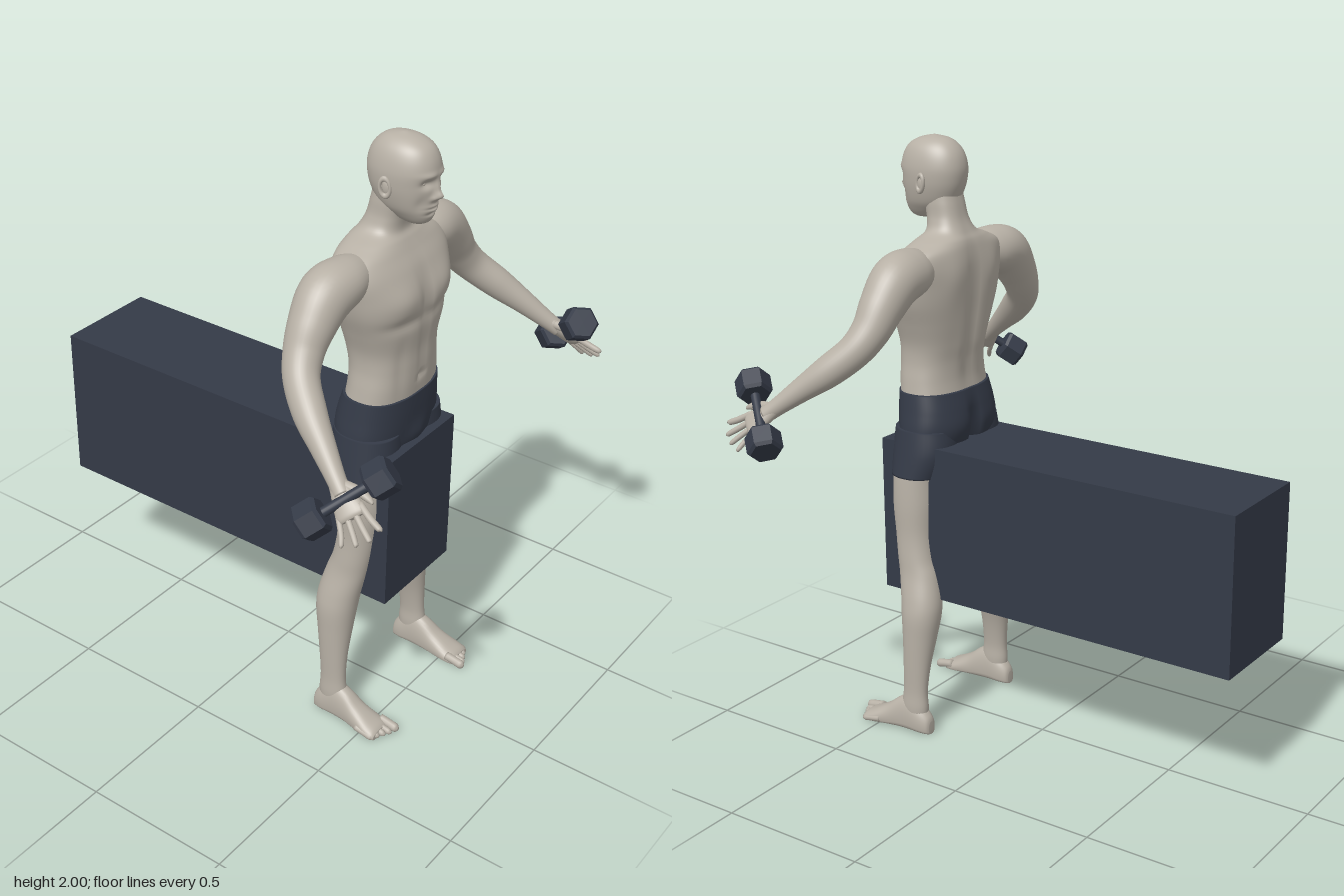
import * as THREE from 'three';

const V = (x, y, z) => new THREE.Vector3(x, y, z);
const skin = new THREE.MeshStandardMaterial({ color: 0xb7b0a5 });
skin.name = 'skin';
const dark = new THREE.MeshStandardMaterial({ color: 0x343a47 });
dark.name = 'dark slate';

// Smooth interpolation through rows of numbers, t from 0 to 1
function sample(rows, t) {
  const f = t * (rows.length - 1), i = Math.min(Math.floor(f), rows.length - 2), u = f - i;
  const at = (k) => rows[Math.max(0, Math.min(rows.length - 1, k))];
  return rows[0].map((_, c) => {
    const [a, b, d, e] = [at(i - 1)[c], at(i)[c], at(i + 1)[c], at(i + 2)[c]];
    return b + 0.5 * u * (d - a + u * (2 * a - 5 * b + 4 * d - e + u * (3 * (b - d) + e - a)));
  });
}

// Closed surface from rings of points, turned to face outward
function loft(pointAt, rings, sides) {
  const pos = [], idx = [];
  for (let i = 0; i <= rings; i++)
    for (let j = 0; j < sides; j++) pos.push(...pointAt(i / rings, (j / sides) * Math.PI * 2).toArray());
  for (const r of [0, rings]) {
    const c = [0, 0, 0];
    for (let j = 0; j < sides; j++) for (let k = 0; k < 3; k++) c[k] += pos[(r * sides + j) * 3 + k] / sides;
    pos.push(...c);
  }
  const n = (rings + 1) * sides;
  for (let j = 0; j < sides; j++) {
    const k = (j + 1) % sides;
    for (let i = 0; i < rings; i++) {
      const a = i * sides + j, b = i * sides + k;
      idx.push(a, b, a + sides, b, b + sides, a + sides);
    }
    idx.push(n, k, j, n + 1, rings * sides + j, rings * sides + k);
  }
  const p = (i) => V(pos[i * 3], pos[i * 3 + 1], pos[i * 3 + 2]);
  let volume = 0;
  for (let i = 0; i < idx.length; i += 3) volume += p(idx[i]).dot(p(idx[i + 1]).cross(p(idx[i + 2])));
  const geo = new THREE.BufferGeometry();
  geo.setAttribute('position', new THREE.Float32BufferAttribute(pos, 3));
  geo.setIndex(volume < 0 ? idx.reverse() : idx);
  geo.computeVertexNormals();
  return geo;
}

const pw = (v, p) => Math.sign(v) * Math.abs(v) ** p;

// Upright form from rows [y, centre x, half width, front z, back z]
function column(rows, { p = 1, rings = 50, sides = 40, grow = 0, tweak } = {}) {
  return loft((t, a) => {
    const [y, cx, hw, zf, zb] = sample(rows, t);
    const v = V(cx + (hw + grow) * pw(Math.cos(a), p), y, (zf + zb) / 2 + ((zf - zb) / 2 + grow) * pw(Math.sin(a), p));
    if (tweak) tweak(v);
    return v;
  }, rings, sides);
}

// Limb along a path from rows [x, y, z, radius along ref, radius across]
function limb(rows, ref, rings = 12, sides = 12) {
  const at = (t) => V(...sample(rows, t));
  return loft((t, a) => {
    const [x, y, z, ru, rv] = sample(rows, t);
    const dir = at(Math.min(1, t + 0.01)).sub(at(Math.max(0, t - 0.01))).normalize();
    const u = ref.clone().addScaledVector(dir, -ref.dot(dir)).normalize();
    const w = dir.clone().cross(u);
    return V(x, y, z).addScaledVector(u, ru * Math.cos(a)).addScaledVector(w, rv * Math.sin(a));
  }, rings, sides);
}

const bump = (x, y, cx, cy, sx, sy) => Math.exp(-(((x - cx) / sx) ** 2) - ((y - cy) / sy) ** 2);
const ramp = THREE.MathUtils.smoothstep;

export function createModel() {
  const model = new THREE.Group();
  const add = (name, geo, mat) => {
    const m = new THREE.Mesh(geo, mat);
    m.name = name;
    model.add(m);
  };
  const addPair = (name, geo, mat) => {
    const flip = geo.clone().scale(-1, 1, 1);
    flip.setIndex(Array.from(geo.index.array).reverse());
    add('left' + name, geo, mat);
    add('right' + name, flip, mat);
  };

  // Bench block
  add('bench', new THREE.BoxGeometry(0.36, 0.53, 1.32).translate(0, 0.745, -0.14), dark);

  // Torso and neck, with chest, belly and shoulder blade relief
  add('torso', column([
    [1.16, 0, 0.176, 0.498, 0.288], [1.22, 0, 0.168, 0.503, 0.295], [1.28, 0, 0.16, 0.505, 0.292],
    [1.34, 0, 0.164, 0.506, 0.28], [1.41, 0, 0.186, 0.513, 0.268], [1.48, 0, 0.212, 0.516, 0.26],
    [1.54, 0, 0.226, 0.506, 0.258], [1.6, 0, 0.235, 0.485, 0.26], [1.645, 0, 0.215, 0.458, 0.266],
    [1.675, 0, 0.15, 0.44, 0.274], [1.7, 0, 0.088, 0.425, 0.288], [1.74, 0, 0.067, 0.428, 0.306],
    [1.79, 0, 0.063, 0.44, 0.318], [1.82, 0, 0.06, 0.44, 0.325],
  ], { p: 0.82, rings: 90, sides: 72, tweak: (v) => {
    const x = Math.abs(v.x), y = v.y;
    const f = ramp(v.z, 0.4, 0.48), b = 1 - ramp(v.z, 0.29, 0.36);
    v.z += f * (0.014 * bump(x, y, 0.1, 1.525, 0.07, 0.05) - 0.008 * bump(x, y, 0.09, 1.445, 0.08, 0.02)
      - 0.01 * bump(x, y, 0, 1.5, 0.014, 0.09) - 0.005 * bump(x, y, 0, 1.32, 0.012, 0.1)
      - 0.01 * bump(x, y, 0, 1.235, 0.01, 0.012) - 0.005 * bump(x, y, 0.095, 1.28, 0.02, 0.1));
    v.z += b * (0.018 * bump(x, y, 0, 1.45, 0.025, 0.17) - 0.009 * bump(x, y, 0.1, 1.57, 0.05, 0.07)
      - 0.004 * bump(x, y, 0.05, 1.3, 0.03, 0.1));
  } }), skin);

  // Head with brow, nose, lips and eye sockets
  add('head', column([
    [1.735, 0, 0.022, 0.49, 0.42], [1.745, 0, 0.036, 0.506, 0.4], [1.765, 0, 0.052, 0.517, 0.365],
    [1.79, 0, 0.067, 0.522, 0.335], [1.825, 0, 0.078, 0.525, 0.316], [1.86, 0, 0.084, 0.527, 0.305],
    [1.9, 0, 0.085, 0.53, 0.301], [1.94, 0, 0.077, 0.521, 0.31], [1.97, 0, 0.062, 0.501, 0.33],
    [1.99, 0, 0.038, 0.465, 0.36], [2, 0, 0.006, 0.42, 0.408],
  ], { p: 0.92, rings: 100, sides: 96, tweak: (v) => {
    const x = Math.abs(v.x), y = v.y;
    v.z += ramp(v.z, 0.44, 0.5) * (0.022 * bump(x, y, 0, 1.833, 0.012, 0.014) + 0.012 * bump(x, y, 0, 1.858, 0.01, 0.022)
      + 0.007 * bump(x, y, 0.016, 1.826, 0.008, 0.008) - 0.014 * bump(x, y, 0.033, 1.873, 0.018, 0.013)
      + 0.005 * bump(x, y, 0.03, 1.898, 0.025, 0.009) + 0.006 * bump(x, y, 0, 1.8, 0.022, 0.006)
      + 0.006 * bump(x, y, 0, 1.787, 0.02, 0.006) - 0.005 * bump(x, y, 0, 1.7935, 0.024, 0.003)
      - 0.006 * bump(x, y, 0, 1.774, 0.025, 0.006) - 0.006 * bump(x, y, 0.045, 1.81, 0.014, 0.025));
  } }), skin);
  addPair('Eye', new THREE.SphereGeometry(0.012, 16, 12).scale(1.15, 0.7, 0.8).translate(0.033, 1.872, 0.499), skin);
  addPair('Ear', new THREE.TorusGeometry(0.021, 0.007, 10, 24).scale(0.75, 1.25, 1)
    .rotateY(Math.PI / 2 - 0.3).rotateX(-0.12).translate(0.088, 1.855, 0.408), skin);
  addPair('EarInner', new THREE.SphereGeometry(0.018, 14, 10).scale(0.35, 1.2, 0.8).translate(0.083, 1.853, 0.41), skin);

  // Shorts: hips with buttocks, then the two legs
  add('shortsHips', column([
    [0.95, 0, 0.1, 0.45, 0.33], [0.97, 0, 0.165, 0.475, 0.3], [1.0, 0, 0.2, 0.49, 0.278],
    [1.06, 0, 0.198, 0.499, 0.264], [1.12, 0, 0.189, 0.503, 0.268], [1.18, 0, 0.18, 0.504, 0.284],
  ], { p: 0.82, sides: 64, tweak: (v) => {
    const x = Math.abs(v.x);
    v.z += (1 - ramp(v.z, 0.29, 0.36)) * (0.03 * bump(x, v.y, 0, 1.05, 0.02, 0.08) - 0.006 * bump(x, v.y, 0.09, 1.06, 0.06, 0.05));
    v.z += ramp(v.z, 0.43, 0.48) * 0.012 * bump(x, v.y, 0, 1.03, 0.04, 0.04);
  } }), dark);
  const thigh = [
    [1.06, 0.103, 0.094, 0.488, 0.285], [0.98, 0.115, 0.094, 0.492, 0.282], [0.9, 0.13, 0.09, 0.488, 0.315],
  ];
  addPair('ShortsLeg', column(thigh, { grow: 0.004, p: 0.9, rings: 20 }), dark);

  // Legs
  addPair('Leg', column([
    thigh[1], thigh[2], [0.8, 0.146, 0.08, 0.483, 0.325], [0.7, 0.162, 0.064, 0.468, 0.333],
    [0.62, 0.175, 0.057, 0.455, 0.325], [0.56, 0.183, 0.056, 0.444, 0.306], [0.48, 0.196, 0.063, 0.428, 0.287],
    [0.42, 0.205, 0.064, 0.42, 0.285], [0.34, 0.215, 0.054, 0.413, 0.296], [0.24, 0.228, 0.039, 0.408, 0.31],
    [0.15, 0.234, 0.031, 0.408, 0.318], [0.09, 0.235, 0.033, 0.415, 0.315], [0.04, 0.235, 0.03, 0.41, 0.32],
  ], { p: 0.95, rings: 70 }), skin);

  // Feet from rows [z, centre x, half width, height], flat underneath
  const foot = [[0.298, 0.235, 0.014, 0.045], [0.306, 0.235, 0.026, 0.065], [0.335, 0.235, 0.035, 0.095],
    [0.38, 0.235, 0.037, 0.125], [0.425, 0.235, 0.039, 0.11], [0.47, 0.237, 0.044, 0.076],
    [0.52, 0.239, 0.051, 0.048], [0.55, 0.24, 0.05, 0.034], [0.562, 0.24, 0.044, 0.024]];
  addPair('Foot', loft((t, a) => {
    const [z, cx, hw, h] = sample(foot, t), s = Math.sin(a);
    return V(cx + hw * pw(Math.cos(a), 0.85), 0.35 * h + (s > 0 ? 0.65 * h * s : 0.35 * h * pw(s, 0.5)), z);
  }, 36, 32), skin);
  for (let i = 0; i < 5; i++) {
    const r = i ? 0.0105 : 0.0145, x = i ? 0.204 + i * 0.0195 : 0.2, z = 0.603 - 0.011 * i;
    addPair('Toe' + (i + 1), limb([[x, r + 0.012, z - 0.07, r, r], [x, r + 0.006, z - 0.035, r, r],
      [x, r + 0.001, z - 0.01, r, r], [x, r, z, r * 0.35, r * 0.35]], V(1, 0, 0)), skin);
  }

  // Arms, reaching out, down and forward
  addPair('Arm', limb([
    [0.15, 1.6, 0.365, 0.065, 0.06], [0.22, 1.597, 0.36, 0.084, 0.076], [0.295, 1.578, 0.355, 0.082, 0.084],
    [0.36, 1.515, 0.357, 0.072, 0.072], [0.408, 1.45, 0.364, 0.062, 0.06], [0.455, 1.39, 0.392, 0.055, 0.053],
    [0.505, 1.325, 0.46, 0.051, 0.048], [0.545, 1.265, 0.535, 0.039, 0.037], [0.58, 1.208, 0.605, 0.029, 0.028],
    [0.6, 1.177, 0.644, 0.027, 0.025],
  ], V(0, 0.35, 1), 60, 32), skin);

  // Hands: "along" follows the fingers, "across" follows the dumbbell
  const wrist = V(0.585, 1.2, 0.615), along = V(0.37, -0.57, 0.73), across = V(0.52, -0.565, -0.63).normalize();
  const hand = (a, b, ru, rv = ru) =>
    [...wrist.clone().addScaledVector(along, a).addScaledVector(across, b).toArray(), ru, rv];
  addPair('Palm', limb([hand(-0.015, 0, 0.026, 0.024), hand(0.02, 0, 0.031, 0.022), hand(0.06, 0, 0.04, 0.02),
    hand(0.1, 0, 0.045, 0.016), hand(0.113, 0, 0.034, 0.009)], across, 24, 24), skin);
  [0.082, 0.095, 0.087, 0.068].forEach((len, i) => {
    const b = (i - 1.5) * 0.024, tip = b * 1.65, r = 0.0105 - 0.0007 * i;
    addPair('Finger' + (i + 1), limb([hand(0.085, b, r), hand(0.1 + len / 2, (b + tip) / 2, r),
      hand(0.094 + len, tip, r * 0.85), hand(0.1 + len, tip, r * 0.35)], across), skin);
  });
  addPair('Thumb', limb([hand(0.015, -0.015, 0.015), hand(0.05, -0.045, 0.014), hand(0.085, -0.064, 0.011),
    hand(0.105, -0.07, 0.004)], across), skin);

  // Dumbbells: a round grip and two bevelled hexagonal heads
  const turn = new THREE.Quaternion().setFromUnitVectors(V(0, 1, 0), across);
  const place = (geo) => geo.applyQuaternion(turn).translate(0.611, 1.18, 0.662);
  addPair('DumbbellGrip', place(new THREE.CylinderGeometry(0.015, 0.015, 0.18, 20)), dark);
  for (const s of [-1, 1]) {
    const name = s < 0 ? 'Front' : 'Rear';
    addPair('Dumbbell' + name + 'Head', place(new THREE.CylinderGeometry(0.057, 0.057, 0.06, 6).toNonIndexed()
      .translate(0, s * 0.115, 0)).setIndex([...Array(72).keys()]), dark);
    for (const e of [-1, 1]) {
      const bevel = new THREE.CylinderGeometry(e > 0 ? 0.048 : 0.057, e > 0 ? 0.057 : 0.048, 0.01, 6);
      addPair('Dumbbell' + name + (e > 0 ? 'BevelA' : 'BevelB'), place(bevel.translate(0, s * 0.115 + e * 0.035, 0)), dark);
    }
  }
  // Crisp facets on the hexagonal heads
  model.traverse((o) => {
    if (!/Head$|Bevel/.test(o.name)) return;
    o.geometry = o.geometry.toNonIndexed();
    o.geometry.computeVertexNormals();
  });
  return model;
}
